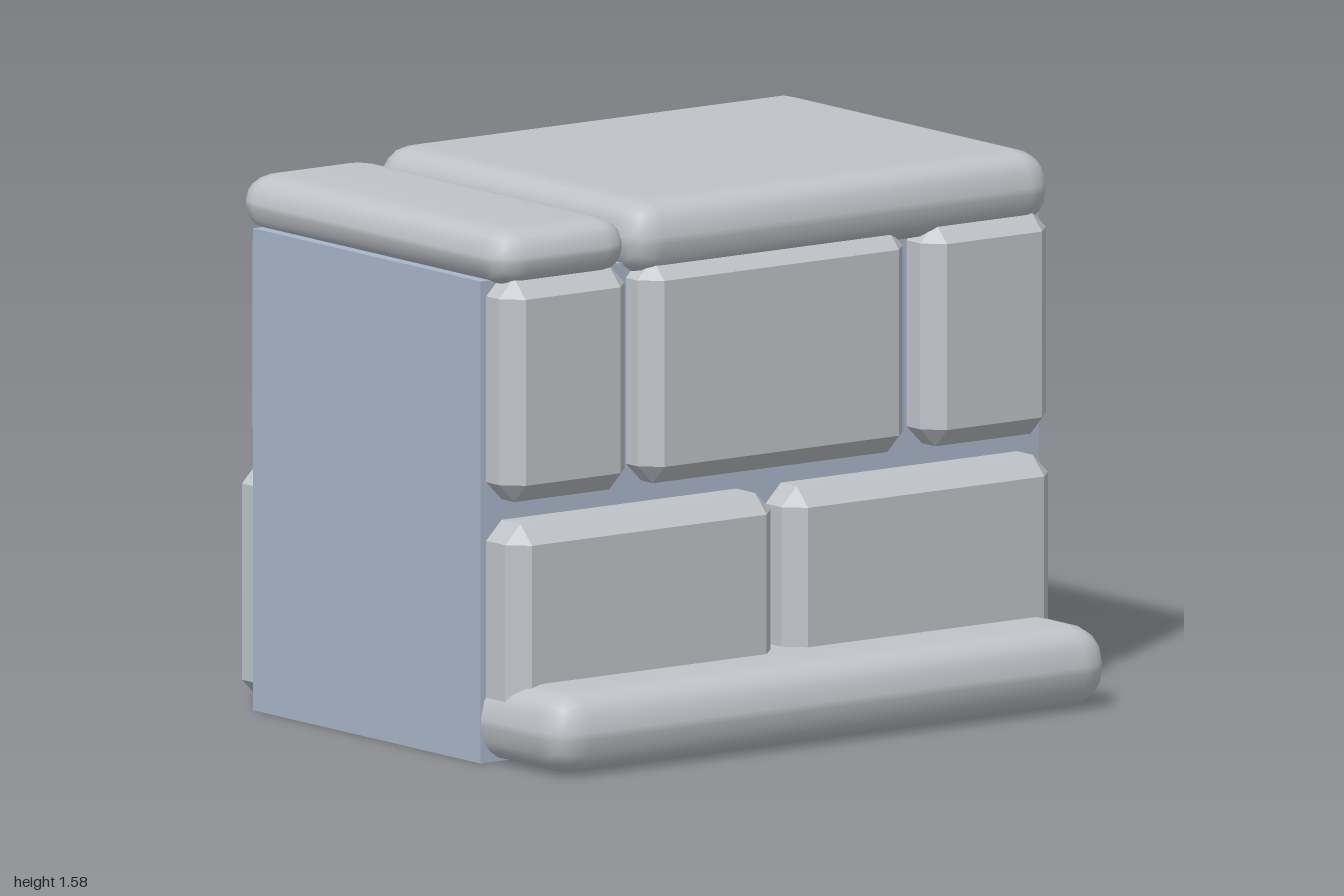
import * as THREE from 'three';
import { RoundedBoxGeometry } from 'three/addons/geometries/RoundedBoxGeometry.js';
import { ConvexGeometry } from 'three/addons/geometries/ConvexGeometry.js';
import { mergeVertices } from 'three/addons/utils/BufferGeometryUtils.js';

// Box with flat 45 degree chamfers, built as the hull of its 24 corner points
function chamferedBox(w, h, d, c) {
  const points = [];
  for (const sx of [-1, 1]) for (const sy of [-1, 1]) for (const sz of [-1, 1]) {
    for (const [a, b, e] of [[0, c, c], [c, 0, c], [c, c, 0]]) {
      points.push(new THREE.Vector3(sx * (w / 2 - a), sy * (h / 2 - b), sz * (d / 2 - e)));
    }
  }
  return new ConvexGeometry(points);
}

// Soft slab with a coarse rounded edge and fully smooth normals
function softSlab(w, h, d, r) {
  let geo = new RoundedBoxGeometry(w, h, d, 2, r);
  geo.deleteAttribute('uv');
  geo.deleteAttribute('normal');
  geo = mergeVertices(geo, 1e-4);
  geo.computeVertexNormals();
  return geo;
}

export function createModel() {
  const model = new THREE.Group();
  const stone = new THREE.MeshStandardMaterial({ color: 0xc0c3c8 });
  const mortar = new THREE.MeshStandardMaterial({ color: 0xa9b6cb });
  stone.name = 'stone';
  mortar.name = 'mortar';

  const add = (name, geo, mat, x, y, z) => {
    const mesh = new THREE.Mesh(geo, mat);
    mesh.name = name;
    mesh.position.set(x, y, z);
    model.add(mesh);
    return mesh;
  };

  // Wall core
  const front = 0.425, back = -0.655;
  add('wallCore', new THREE.BoxGeometry(2, 1.4, front - back), mortar, 0, 0.7, (front + back) / 2);

  // Brick courses: [x start, x end, front z, back z]
  const courses = [
    { name: 'lowerBrick', y0: 0.02, y1: 0.7,
      bricks: [[-0.98, -0.03, 0.57, -0.79], [0.02, 0.975, 0.555, -0.805]] },
    { name: 'upperBrick', y0: 0.76, y1: 1.41,
      bricks: [[-0.98, -0.53, 0.54, -0.74], [-0.48, 0.47, 0.535, -0.735], [0.525, 0.975, 0.545, -0.755]] },
  ];
  for (const { name, y0, y1, bricks } of courses) {
    for (const [x0, x1, zf, zb] of bricks) {
      for (const [side, za, zc] of [['Front', front - 0.15, zf], ['Back', zb, back + 0.15]]) {
        add(name + side, chamferedBox(x1 - x0, y1 - y0, zc - za, 0.055), stone,
          (x0 + x1) / 2, (y0 + y1) / 2, (za + zc) / 2);
      }
    }
  }

  // Cap stones
  add('wideCap', softSlab(1.515, 0.22, 1.28, 0.1), stone, 0.2425, 1.47, -0.117);
  const narrowCap = add('narrowCap', softSlab(0.482, 0.22, 1.28, 0.1), stone, -0.759, 1.465, -0.117);
  narrowCap.scale.y = 0.77;

  // Rounded step along the foot of the front
  add('footStep', softSlab(1.998, 0.24, 0.5, 0.11), stone, 0, 0.12, 0.55);

  return model;
}
